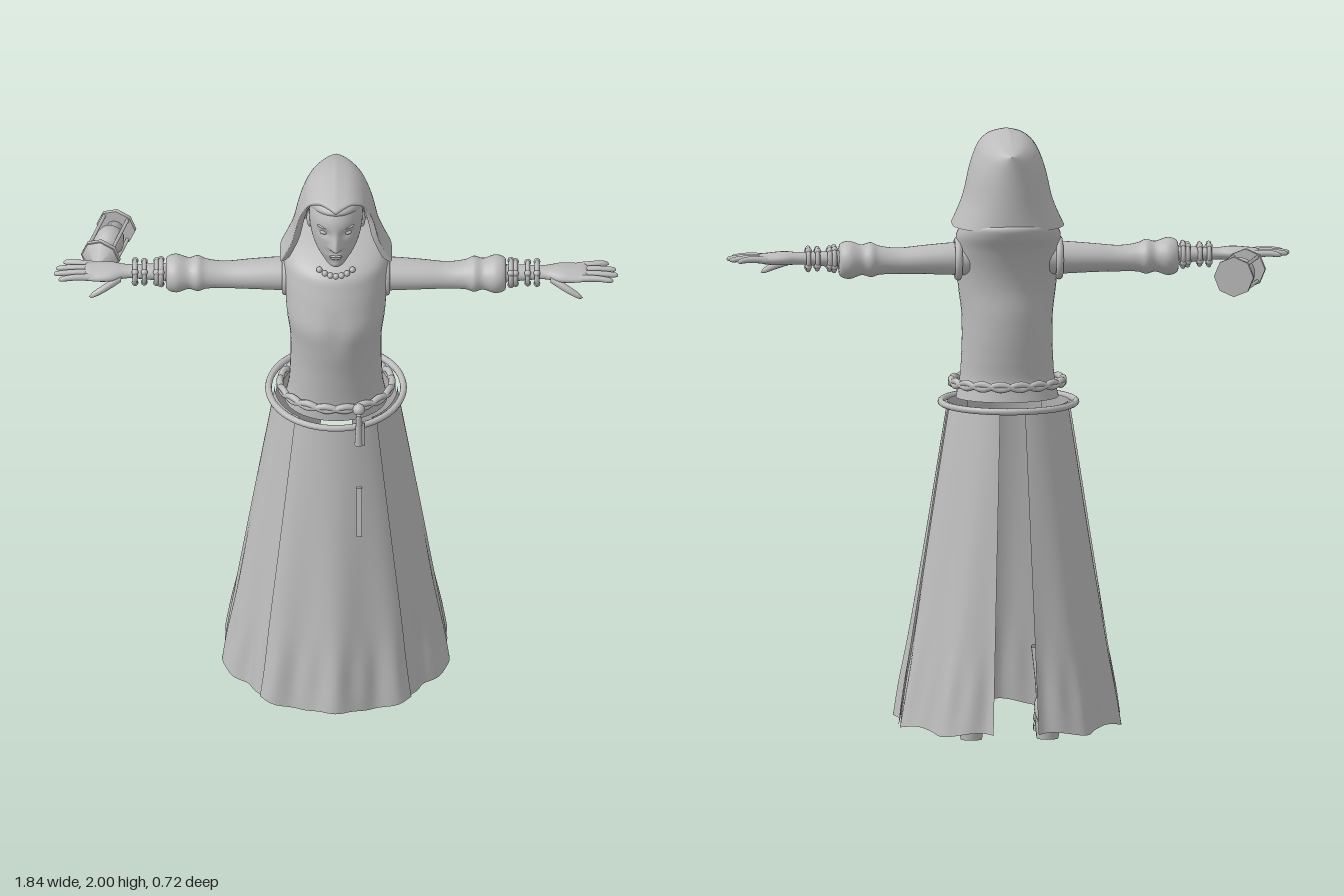
import * as THREE from 'three';
import { mergeVertices } from 'three/addons/utils/BufferGeometryUtils.js';

const clay = new THREE.MeshStandardMaterial({ color: 0xbcbcbc, side: THREE.DoubleSide });
clay.name = 'light grey';
const { sin, cos, abs, sign, sqrt, exp, max, PI } = Math;
const TAU = PI * 2;
const bump = (d, width) => exp(-((d / width) ** 2));

// Smooth interpolation through rows of numbers, t from 0 to 1
function sample(rows, t) {
  const p = Math.min(max(t, 0), 1) * (rows.length - 1);
  const i = Math.min(Math.floor(p), rows.length - 2), f = p - i;
  const row = k => rows[Math.min(max(k, 0), rows.length - 1)];
  const [a, b, c, d] = [row(i - 1), row(i), row(i + 1), row(i + 2)];
  return b.map((_, k) => b[k] + 0.5 * f * (c[k] - a[k] + f * (2 * a[k] - 5 * b[k] + 4 * c[k] - d[k]
    + f * (3 * (b[k] - c[k]) + d[k] - a[k]))));
}

// Smooth surface from a rule (u, v) -> [x, y, z]
function grid(nu, nv, rule) {
  const pos = [], idx = [];
  for (let j = 0; j <= nv; j++) for (let i = 0; i <= nu; i++) pos.push(...rule(i / nu, j / nv));
  for (let j = 0; j < nv; j++) for (let i = 0; i < nu; i++) {
    const a = j * (nu + 1) + i, b = a + nu + 1;
    idx.push(a, a + 1, b, a + 1, b + 1, b);
  }
  const g = new THREE.BufferGeometry();
  g.setAttribute('position', new THREE.Float32BufferAttribute(pos, 3));
  g.setIndex(idx);
  const merged = mergeVertices(g, 1e-5);
  merged.computeVertexNormals();
  return merged;
}

// Upright body, rows [y, halfWidth, zFront, zBack]
const uprightLoft = (rows, nu = 40, nv = 40, shape = () => 0) => grid(nu, nv, (u, v) => {
  const [y, w, zf, zb] = sample(rows, v), a = u * TAU + PI;
  const x = w * sin(a);
  return [x, y, (zf + zb) / 2 + (zf - zb) / 2 * cos(a) + (cos(a) > 0 ? shape(x, y) : 0)];
});
// Sideways limb, rows [x, y, z, radiusY, radiusZ]
const limbLoft = (rows, nu = 20, nv = 24) => grid(nu, nv, (u, v) => {
  const [x, y, z, ry, rz] = sample(rows, v);
  return [x, y + ry * cos(u * TAU), z + rz * sin(u * TAU)];
});
// Lengthwise body, rows [z, halfWidth, yBottom, yTop]
const lengthLoft = rows => grid(20, 20, (u, v) => {
  const [z, w, y0, y1] = sample(rows, v);
  return [w * cos(u * TAU), (y0 + y1) / 2 + (y1 - y0) / 2 * sin(u * TAU), z];
});

function add(parent, name, geometry, x = 0, y = 0, z = 0) {
  const m = new THREE.Mesh(geometry, clay);
  m.name = name;
  m.position.set(x, y, z);
  parent.add(m);
  return m;
}
function ball(parent, name, x, y, z, rx, ry = rx, rz = rx) {
  const m = add(parent, name, new THREE.SphereGeometry(1, 16, 12), x, y, z);
  m.scale.set(rx, ry, rz);
  return m;
}

// Flared skirt panel between two angles measured from the front
function skirtPanel(from, to, inset) {
  return grid(40, 24, (u, v) => {
    const a = THREE.MathUtils.degToRad(from + (to - from) * u);
    const r = 0.206 + 0.17 * v - inset + 0.014 * v * v * cos(a * 10) + 0.006 * v * bump(v - 0.9, 0.12) * cos(a * 23);
    return [r * sin(a), 1.11 - 1.055 * v + 0.008 * v * cos(a * 9), r * cos(a) * 0.975];
  });
}

function buildArm() {
  const arm = new THREE.Group();
  add(arm, 'sleeve', limbLoft([[0.13, 1.58, 0, 0.055, 0.06], [0.2, 1.58, 0, 0.052, 0.058], [0.28, 1.578, 0, 0.047, 0.054],
    [0.36, 1.575, 0, 0.043, 0.048], [0.42, 1.578, 0, 0.047, 0.052], [0.45, 1.58, 0, 0.057, 0.062], [0.48, 1.58, 0, 0.05, 0.055],
    [0.52, 1.58, 0, 0.062, 0.066], [0.55, 1.58, 0, 0.053, 0.055], [0.555, 1.58, 0, 0.03, 0.03]], 24, 40));
  add(arm, 'armhole', new THREE.TorusGeometry(0.06, 0.012, 10, 32), 0.165, 1.58, 0).rotation.y = PI / 2;
  add(arm, 'hand', limbLoft([[0.5, 1.583, 0, 0.03, 0.035], [0.6, 1.585, 0, 0.025, 0.03], [0.68, 1.587, 0, 0.02, 0.028],
    [0.73, 1.588, 0.003, 0.022, 0.045], [0.78, 1.587, 0.003, 0.019, 0.048], [0.815, 1.588, 0, 0.013, 0.043], [0.82, 1.588, 0, 0, 0]]));
  [[0.57, 0.04], [0.585, 0.036], [0.625, 0.034], [0.655, 0.036]].forEach(([x, r]) => {
    add(arm, 'bracelet', new THREE.TorusGeometry(r, 0.008, 8, 24), x, 1.585, 0).rotation.y = PI / 2;
    for (let k = 0; k < 4; k++) ball(arm, 'bead', x, 1.585 + r * sin(k * PI / 2 + 0.6), r * cos(k * PI / 2 + 0.6), 0.011);
  });
  // Four fingers fan out slightly, the thumb points down and forward
  [[-0.033, -0.047, 0.89], [-0.011, -0.015, 0.913], [0.012, 0.014, 0.92], [0.035, 0.044, 0.905]].forEach(([z0, z1, tip]) =>
    add(arm, 'finger', limbLoft([[0.79, 1.588, z0, 0.012, 0.012], [0.85, 1.591, (z0 + z1) / 2, 0.0105, 0.0105],
      [tip - 0.01, 1.587, z1, 0.008, 0.008], [tip, 1.585, z1, 0, 0]], 10, 12)));
  add(arm, 'thumb', limbLoft([[0.7, 1.58, 0.025, 0.014, 0.014], [0.75, 1.56, 0.052, 0.014, 0.013],
    [0.79, 1.54, 0.064, 0.01, 0.01], [0.805, 1.532, 0.066, 0, 0]], 10, 12));
  return arm;
}

function buildBoot() {
  const boot = new THREE.Group();
  add(boot, 'shoe', lengthLoft([[-0.085, 0, 0.06, 0.1], [-0.075, 0.035, 0.045, 0.13], [-0.03, 0.045, 0.04, 0.16],
    [0.04, 0.045, 0.022, 0.12], [0.12, 0.055, 0.006, 0.075], [0.18, 0.052, 0.006, 0.06], [0.225, 0.033, 0.01, 0.045], [0.24, 0, 0.02, 0.03]]));
  add(boot, 'bootShaft', uprightLoft([[0.07, 0.04, 0.035, -0.075], [0.16, 0.04, 0.03, -0.07], [0.3, 0.055, 0.045, -0.08]], 20, 8));
  add(boot, 'heel', new THREE.CylinderGeometry(0.042, 0.036, 0.06, 16), 0, 0.03, -0.045);
  // Flat sole under the front of the foot
  const sole = add(boot, 'sole', new THREE.CylinderGeometry(0.055, 0.055, 0.018, 24), 0, 0.009, 0.14);
  sole.scale.z = 1.8;
  return boot;
}

function buildHourglass() {
  const glass = new THREE.Group();
  const cap = () => new THREE.CylinderGeometry(0.066, 0.066, 0.014, 8);
  [-0.085, 0.085].forEach(y => add(glass, 'endPlate', cap(), 0, y, 0));
  const bulb = [[0, -0.08], [0.028, -0.076], [0.02, -0.055], [0.042, -0.035], [0.051, 0], [0.042, 0.033], [0.02, 0.055], [0.028, 0.076], [0, 0.08]];
  add(glass, 'bulb', new THREE.LatheGeometry(bulb.map(p => new THREE.Vector2(...p)), 24));
  for (let k = 0; k < 4; k++) {
    const a = PI / 4 + k * PI / 2;
    add(glass, 'post', new THREE.CylinderGeometry(0.006, 0.006, 0.17, 8), 0.056 * cos(a), 0, 0.056 * sin(a));
  }
  add(glass, 'pointedCap', new THREE.ConeGeometry(0.064, 0.06, 8), 0, 0.12, 0);
  glass.position.set(-0.742, 1.555, -0.2);
  glass.rotation.set(PI / 2, 0, 0.3);
  return glass;
}

function buildHead() {
  const head = new THREE.Group();
  // Nose, eye sockets, lips and chin pushed out of a smooth skull
  const features = (x, y) => 0.032 * bump(x, 0.013 + 0.004 * bump(y - 1.795, 0.015)) * (y < 1.8 ? bump(y - 1.8, 0.011) : bump(y - 1.8, 0.04))
    - 0.011 * bump(abs(x) - 0.036, 0.02) * bump(y - 1.848, 0.015)
    + 0.008 * bump(x, 0.024) * bump(y - 1.76, 0.012) + 0.006 * bump(x, 0.02) * bump(y - 1.72, 0.012);
  add(head, 'face', uprightLoft([[1.698, 0, 0.1, 0.06], [1.705, 0.028, 0.128, 0.03], [1.725, 0.045, 0.137, 0], [1.76, 0.066, 0.145, -0.03],
    [1.8, 0.08, 0.15, -0.06], [1.85, 0.087, 0.154, -0.08], [1.9, 0.084, 0.148, -0.08], [1.94, 0.065, 0.115, -0.06], [1.965, 0, 0.03, 0.02]], 96, 72, features));
  add(head, 'hair', uprightLoft([[1.86, 0.093, 0.07, -0.09], [1.9, 0.092, 0.12, -0.09], [1.93, 0.08, 0.14, -0.08], [1.955, 0.05, 0.1, -0.05], [1.97, 0, 0.03, 0.03]]));
  [-1, 1].forEach(s => {
    ball(head, 'eye', s * 0.036, 1.848, 0.128, 0.016, 0.008, 0.009);
    const brow = ball(head, 'eyebrow', s * 0.04, 1.872, 0.134, 0.022, 0.004, 0.008);
    brow.rotation.set(0, s * 0.4, s * 0.15);
    ball(head, 'ear', s * 0.086, 1.83, 0.03, 0.01, 0.032, 0.018);
  });
  ball(head, 'upperLip', 0, 1.764, 0.15, 0.021, 0.004, 0.006);
  ball(head, 'lowerLip', 0, 1.756, 0.149, 0.017, 0.005, 0.007);
  add(head, 'neck', new THREE.CylinderGeometry(0.048, 0.06, 0.14, 24), 0, 1.7, 0.03);
  return head;
}

// Hood: arched outline swept from the open front edge to a rounded back, with a lining
function hoodGeometry() {
  const arch = [[0, 2], [0.05, 1.987], [0.088, 1.955], [0.11, 1.91], [0.125, 1.86], [0.145, 1.775], [0.182, 1.69]];
  const edge = [[0.2], [0.155], [0.125], [0.108], [0.1], [0.095], [0.085]];
  return grid(60, 40, (u, v) => {
    const t = u * 2 - 1, q = v * 1.3 - 0.3, inside = q < 0 ? Math.min(1, -q / 0.06) : 0;
    const [ax, ay] = sample(arch, abs(t)), [zf] = sample(edge, abs(t));
    const z = zf + (-0.172 - zf) * sin(Math.min(abs(q), 1) * PI / 2);
    const round = z < 0 ? sqrt(max(0, 1 - (z / 0.172) ** 2)) : 1;
    const drop = (z > 0.03 ? 0.03 * ((z - 0.03) / 0.17) ** 2 : 0.06 * ((z - 0.03) / 0.2) ** 2) + 0.025 * inside;
    return [sign(t) * ax * round * (1 - 0.17 * inside), ay - drop * (1 - abs(t)), z + 0.025 * max(0, -z) * abs(t)];
  });
}

export function createModel() {
  const model = new THREE.Group();
  model.name = 'robedFigure';

  // Bodice
  add(model, 'bodice', uprightLoft([[1.115, 0.168, 0.185, -0.085], [1.18, 0.155, 0.185, -0.075], [1.25, 0.15, 0.19, -0.082], [1.32, 0.148, 0.197, -0.09],
    [1.4, 0.15, 0.208, -0.095], [1.48, 0.16, 0.214, -0.095], [1.55, 0.165, 0.195, -0.108], [1.62, 0.17, 0.17, -0.135],
    [1.67, 0.168, 0.145, -0.165], [1.705, 0.14, 0.085, -0.172], [1.725, 0.07, 0.03, -0.13], [1.73, 0, -0.04, -0.06]], 48, 60,
    (x, y) => -0.008 * bump(x, 0.03) * bump(y - 1.48, 0.06)));
  for (let k = -3; k <= 3; k++) ball(model, 'collarBead', k * 0.018, 1.675 + 0.0015 * k * k, 0.14 - 0.002 * k * k, 0.01);

  // Head and hood
  const head = buildHead();
  head.name = 'head';
  model.add(head);
  add(model, 'hood', hoodGeometry());

  // Arms and boots, mirrored
  [['left', 1], ['right', -1]].forEach(([side, s]) => {
    const arm = buildArm(), boot = buildBoot();
    arm.name = side + 'Arm';
    arm.scale.x = s;
    boot.name = side + 'Boot';
    boot.position.set(s * 0.13, 0, 0);
    boot.rotation.y = s * 0.12;
    model.add(arm, boot);
  });

  // Twisted belt and waist hoop
  [0, PI].forEach(phase => add(model, 'beltCord', grid(96, 8, (u, v) => {
    const a = u * TAU, r = 0.011 * cos(v * TAU), wave = 0.008 * sin(a * 9 + phase);
    return [(0.183 + r) * sin(a), 1.168 + 0.011 * sin(v * TAU) + wave, 0.045 + (0.145 + r) * cos(a)];
  })));
  add(model, 'waistHoop', new THREE.TorusGeometry(0.22, 0.011, 10, 64), 0, 1.108, -0.005).rotation.x = PI / 2;

  // Belt pendant and hanging strap
  ball(model, 'beltKnot', 0.075, 1.17, 0.195, 0.02);
  add(model, 'pendant', new THREE.CylinderGeometry(0.008, 0.014, 0.12, 10), 0.075, 1.105, 0.218);
  add(model, 'pendantCord', new THREE.CylinderGeometry(0.005, 0.006, 0.09, 8), 0.09, 1.09, 0.22);
  add(model, 'strap', new THREE.BoxGeometry(0.018, 0.18, 0.01), 0.077, 0.79, 0.247).rotation.x = -0.16;

  // Skirt panels, open along the back
  add(model, 'frontSkirtPanel', skirtPanel(-40, 40, 0));
  [-1, 1].forEach(s => {
    add(model, 'sideSkirtPanel', skirtPanel(s * 36, s * 98, 0.007));
    add(model, 'backSkirtPanel', skirtPanel(s * 94, s * 168, 0.013));
  });

  const hourglass = buildHourglass();
  hourglass.name = 'hourglass';
  model.add(hourglass);
  return model;
}
